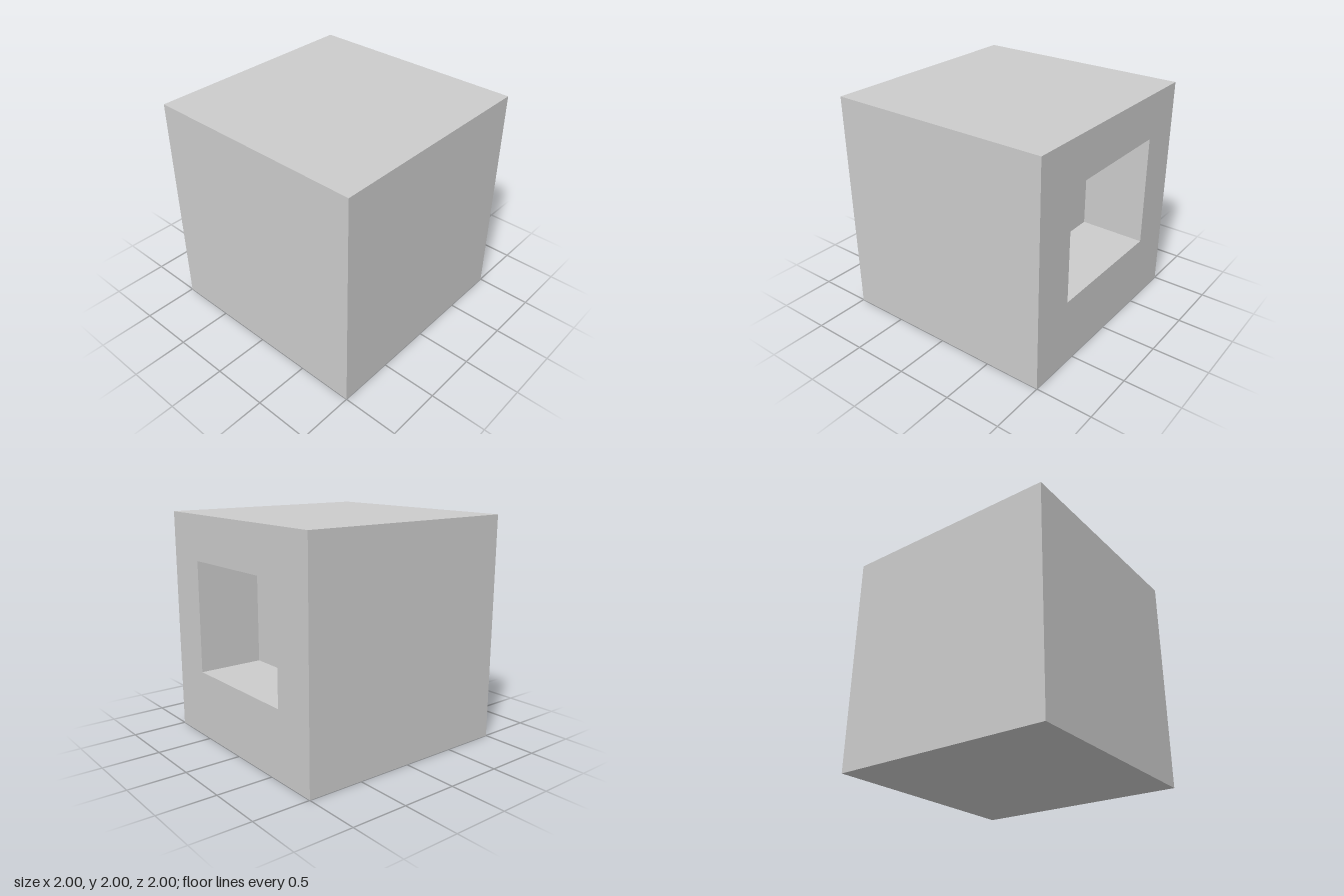
import * as THREE from 'three';

const SIZE = 2;
const RECESS = { depth: 0.6, height: 1.0, width: 1.2, y: 1.1 };

// Box without its +x side; inward = true turns the walls to face the inside
function openBox(w, h, d, inward = false) {
  const geometry = new THREE.BoxGeometry(w, h, d);
  const index = Array.from(geometry.index.array).slice(6);
  geometry.setIndex(inward ? index.reverse() : index);
  geometry.clearGroups();
  geometry.computeVertexNormals();
  return geometry;
}

// Adds a rectangle to a shape or path, centred on x = 0
function rectangle(path, width, bottom, top) {
  const x = width / 2;
  path.moveTo(-x, bottom).lineTo(x, bottom).lineTo(x, top).lineTo(-x, top).closePath();
  return path;
}

export function createModel() {
  const model = new THREE.Group();
  model.name = 'recessedCube';
  const material = new THREE.MeshStandardMaterial({ color: 0xcccccc });

  const add = (name, geometry, x, y) => {
    const mesh = new THREE.Mesh(geometry, material);
    mesh.name = name;
    mesh.position.set(x, y, 0);
    model.add(mesh);
  };

  // Five plain outer sides
  add('cubeShell', openBox(SIZE, SIZE, SIZE), 0, SIZE / 2);

  // Left side with the rectangular opening
  const side = rectangle(new THREE.Shape(), SIZE, 0, SIZE);
  const { depth, height, width, y } = RECESS;
  side.holes.push(rectangle(new THREE.Path(), width, y - height / 2, y + height / 2));
  add('openingSide', new THREE.ShapeGeometry(side).rotateY(Math.PI / 2), SIZE / 2, 0);

  // Walls and floor of the blind pocket
  add('recess', openBox(depth, height, width, true), SIZE / 2 - depth / 2, y);

  return model;
}
